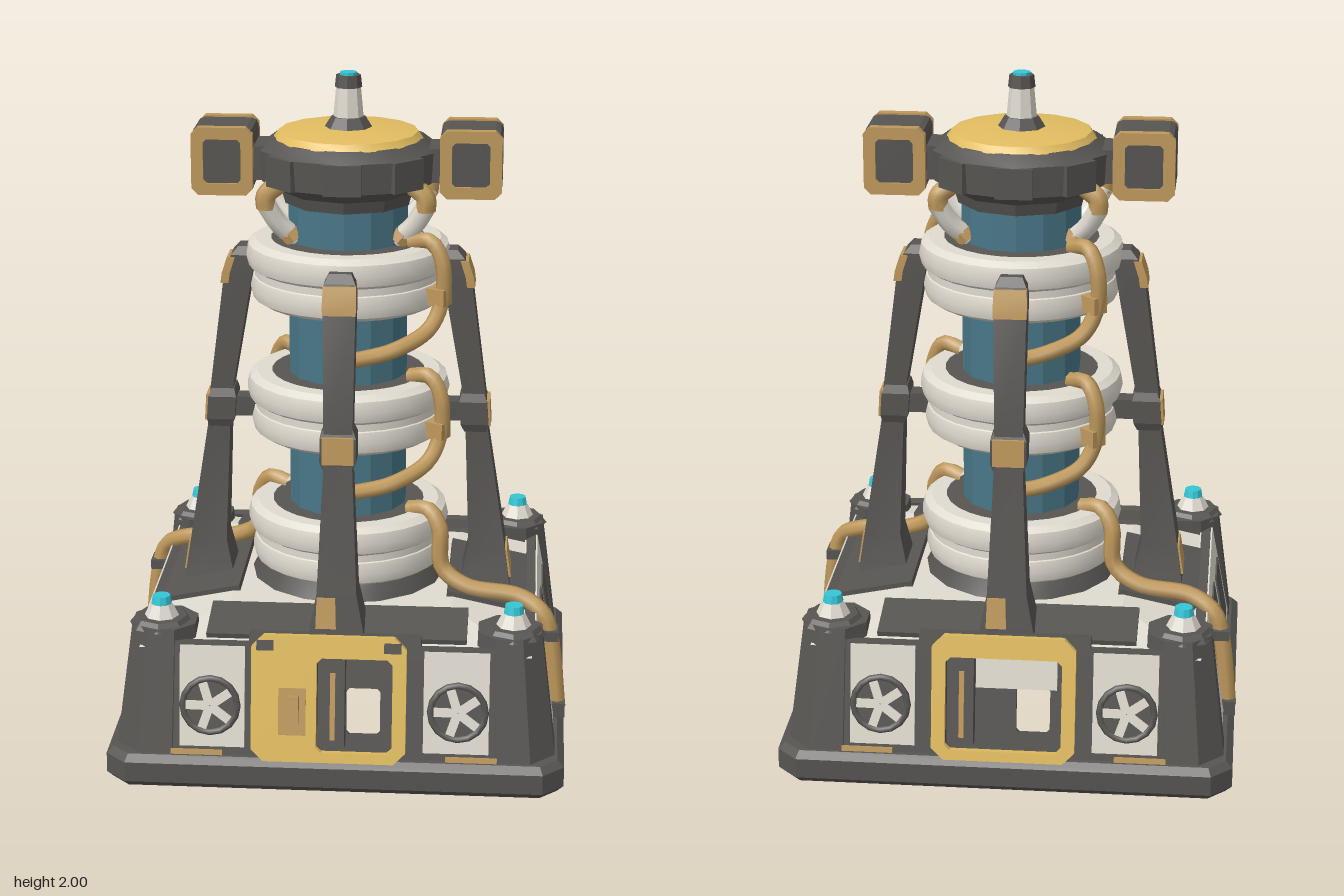
import * as THREE from 'three';
import { toCreasedNormals } from 'three/addons/utils/BufferGeometryUtils.js';
import { RoundedBoxGeometry } from 'three/addons/geometries/RoundedBoxGeometry.js';

const mat = (name, color) => {
  const m = new THREE.MeshStandardMaterial({ color });
  m.name = name;
  return m;
};

export function createModel() {
  const dark = mat('dark metal', 0x575552);
  const white = mat('off-white panel', 0xe0dbd0);
  const yellow = mat('yellow paint', 0xe2bd60);
  const tan = mat('tan trim', 0xbf995c);
  const blue = mat('blue core', 0x497787);
  const teal = mat('teal light', 0x34c6d6);
  const model = new THREE.Group();

  // helpers
  const add = (parent, name, geo, material, x = 0, y = 0, z = 0) => {
    const m = new THREE.Mesh(geo, material);
    m.name = name;
    m.position.set(x, y, z);
    parent.add(m);
    return m;
  };
  const group = (name, parent = model) => {
    const g = new THREE.Group();
    g.name = name;
    parent.add(g);
    return g;
  };
  const box = (w, h, d) => new THREE.BoxGeometry(w, h, d);
  const cyl = (rt, rb, h, n = 8) => toCreasedNormals(new THREE.CylinderGeometry(rt, rb, h, n), 0.5);
  const lathe = (pts, n) => toCreasedNormals(
    new THREE.LatheGeometry(pts.map(p => new THREE.Vector2(p[0], p[1])), n), 0.6);
  const tube = (pts, r, n = 24) => new THREE.TubeGeometry(
    new THREE.CatmullRomCurve3(pts.map(p => new THREE.Vector3(...p))), n, r, 7, false);
  // rectangle with cut corners
  const plate = (x0, y0, x1, y1, c, T = THREE.Shape) => {
    const s = new T();
    s.moveTo(x0 + c, y0); s.lineTo(x1 - c, y0); s.lineTo(x1, y0 + c); s.lineTo(x1, y1 - c);
    s.lineTo(x1 - c, y1); s.lineTo(x0 + c, y1); s.lineTo(x0, y1 - c); s.lineTo(x0, y0 + c);
    s.closePath();
    return s;
  };
  const framed = (outer, holes, depth, bevel = 0) => {
    holes.forEach(h => outer.holes.push(plate(...h, THREE.Path)));
    return new THREE.ExtrudeGeometry(outer, {
      depth, bevelEnabled: bevel > 0, bevelSize: bevel, bevelThickness: bevel, bevelSegments: 1 });
  };
  // beam through sections [y, z, halfWidth, halfDepth]
  const beam = (sections) => {
    const n = sections.length - 1;
    const g = new THREE.BoxGeometry(1, 1, 1, 1, n, 1);
    const p = g.attributes.position;
    for (let i = 0; i < p.count; i++) {
      const [y, z, hw, hd] = sections[Math.round((p.getY(i) + 0.5) * n)];
      p.setXYZ(i, p.getX(i) * 2 * hw, y, z + p.getZ(i) * 2 * hd);
    }
    return toCreasedNormals(g, 0.3);
  };

  // base skirt
  const base = group('base');
  const skirt = framed(plate(-0.65, -0.62, 0.65, 0.62, 0.05), [[-0.59, -0.57, 0.59, 0.57, 0.03]], 0.06, 0.02);
  skirt.rotateX(-Math.PI / 2);
  add(base, 'skirt', skirt, dark, 0, 0.02, 0);

  // sloping walls: front, left, back, right
  for (let k = 0; k < 4; k++) {
    const side = group('wallSide', base);
    side.rotation.y = k * Math.PI / 2;
    const wall = group('wall', side);
    const door = k % 2 === 0;
    wall.position.set(0, 0.05, door ? 0.615 : 0.645);
    wall.rotation.x = -0.18;
    const left = k === 0 ? -0.05 : -0.17;
    const slab = framed(plate(-0.5, 0, 0.5, 0.385, 0.01), door ? [[left, 0.07, 0.17, 0.35, 0.01]] : [], 0.03);
    add(wall, 'wallSlab', slab, dark, 0, 0, -0.03);
    // painted on both wall faces
    const paint = (name, w, h, m, x, y, layer = 0) => [1, -1].forEach(s =>
      add(wall, name, box(w, h, 0.008), m, x, y, -0.015 + s * (0.016 + layer * 0.005)));
    if (door) {
      const frame = framed(plate(k === 0 ? -0.24 : -0.21, 0.04, 0.21, 0.415, 0.035), [[left, 0.07, 0.17, 0.35, 0.015]], 0.025);
      add(wall, 'doorFrame', frame, yellow, 0, 0, -0.005);
      add(wall, 'doorLintel', box(0.5, 0.03, 0.06), dark, 0, 0.395, -0.035);
      // recess and machinery inside the doorway
      const recess = framed(plate(left - 0.02, 0.05, 0.19, 0.37, 0.01), [[0.03, 0.1, 0.13, 0.24, 0.01]], 0.02);
      add(wall, 'doorRecess', recess, dark, 0, 0, -0.1);
      add(wall, 'doorPost', box(0.04, 0.27, 0.05), dark, left + 0.06, 0.21, -0.04);
      add(wall, 'doorPostTrim', box(0.015, 0.2, 0.008), tan, left + 0.045, 0.2, -0.012);
      if (k === 0) {
        add(wall, 'doorLeafInset', box(0.08, 0.14, 0.008), tan, -0.12, 0.19, 0.018);
        add(wall, 'doorHandle', box(0.04, 0.08, 0.035), tan, -0.12, 0.2, 0.03);
        add(wall, 'frameNotch', box(0.05, 0.03, 0.008), dark, -0.2, 0.385, 0.02);
        add(wall, 'frameNotch', box(0.05, 0.03, 0.008), dark, 0.17, 0.385, 0.02);
      } else {
        add(wall, 'innerPanel', box(0.24, 0.11, 0.008), white, 0.03, 0.29, -0.078);
      }
      for (const s of [-1, 1]) {
        paint('whitePanel', 0.19, 0.3, white, s * 0.355, 0.225);
        const fan = group('fan', wall);
        fan.position.set(s * 0.36, 0.2, 0.006);
        const disc = cyl(0.085, 0.085, 0.016, 16);
        disc.rotateX(Math.PI / 2);
        add(fan, 'fanDisc', disc, dark);
        add(fan, 'fanRing', new THREE.TorusGeometry(0.08, 0.01, 6, 16), dark, 0, 0, 0.006);
        for (let b = 0; b < 5; b++) {
          const blade = box(0.026, 0.068, 0.008);
          blade.translate(0, 0.036, 0.01);
          blade.rotateZ(b * Math.PI * 0.4 + 0.3);
          add(fan, 'fanBlade', blade, white);
        }
        add(wall, 'wornEdge', box(0.15, 0.02, 0.008), tan, s * 0.4, 0.055, 0.003);
      }
    } else {
      paint('whitePanel', 0.84, 0.31, white, 0.02, 0.228);
      paint('centrePanel', 0.16, 0.28, dark, 0, 0.19, 1);
      paint('sidePanel', 0.17, 0.18, dark, 0.255, 0.21, 1);
    }
  }

  // corner posts with lamps
  for (const sx of [-1, 1]) for (const sz of [-1, 1]) {
    const corner = group('cornerPost', base);
    const g = new THREE.CylinderGeometry(0.1, 0.135, 0.42, 8, 1).rotateY(Math.PI / 8).translate(0, 0.25, 0);
    const p = g.attributes.position;
    for (let i = 0; i < p.count; i++) {
      const t = (0.46 - p.getY(i)) / 0.42;
      p.setX(i, p.getX(i) + sx * (0.505 + 0.02 * t));
      p.setZ(i, p.getZ(i) + sz * (0.45 + 0.045 * t));
    }
    add(corner, 'post', toCreasedNormals(g, 0.3), dark);
    add(corner, 'postCap', cyl(0.075, 0.095, 0.025), dark, sx * 0.515, 0.46, sz * 0.455);
    add(corner, 'lampSocket', cyl(0.032, 0.052, 0.04), white, sx * 0.515, 0.49, sz * 0.455);
    add(corner, 'lamp', cyl(0.026, 0.032, 0.032, 10), teal, sx * 0.515, 0.518, sz * 0.455);
  }

  // deck
  const deck = new THREE.CylinderGeometry(0.33 * Math.SQRT2, 0.57 * Math.SQRT2, 0.05, 4).rotateY(Math.PI / 4);
  add(base, 'deck', toCreasedNormals(deck, 0.1), white, 0, 0.432, 0).scale.z = 0.96;
  add(base, 'deckUnderside', box(1.08, 0.01, 1.04), dark, 0, 0.4, 0);
  add(base, 'coreSocket', cyl(0.28, 0.24, 0.12, 16), dark, 0, 0.35, 0);

  // struts with deck pads
  for (let k = 0; k < 4; k++) {
    const strut = group('strut');
    strut.rotation.y = k * Math.PI / 2;
    const pad = add(strut, 'deckPad', box(k % 2 ? 0.44 : 0.76, 0.02, k % 2 ? 0.24 : 0.17), dark, 0, 0.441, k % 2 ? 0.43 : 0.41);
    pad.rotation.x = 0.2;
    add(strut, 'strutBeam', beam([[0.42, 0.42, 0.085, 0.08], [0.56, 0.425, 0.058, 0.055], [0.92, 0.39, 0.042, 0.034],
      [1.04, 0.38, 0.042, 0.034], [1.4, 0.325, 0.047, 0.042], [1.455, 0.31, 0.045, 0.037], [1.48, 0.3, 0.032, 0.025]]), dark);
    add(strut, 'strutJoint', beam([[0.92, 0.386, 0.043, 0.034], [0.945, 0.383, 0.053, 0.042],
      [1.015, 0.378, 0.053, 0.042], [1.04, 0.376, 0.043, 0.034]]), dark);
    add(strut, 'strutJointCap', beam([[0.94, 0.412, 0.046, 0.02], [1.02, 0.407, 0.046, 0.02]]), tan);
    add(strut, 'strutBracket', box(0.06, 0.06, 0.12), dark, 0, 0.98, 0.31);
    add(strut, 'strutTopMark', beam([[1.37, 0.366, 0.048, 0.012], [1.4, 0.362, 0.049, 0.012], [1.45, 0.346, 0.047, 0.012]]), tan);
    // full-width mark on the side feet, a narrow one on the front and back feet
    const footWidth = k % 2 ? 0.06 : 0.03;
    add(strut, 'strutFootMark', beam([[0.46, 0.497, footWidth, 0.004], [0.55, 0.483, footWidth * 0.9, 0.004]]), tan, k % 2 ? 0 : -0.03);
  }

  // core column
  const tower = group('tower');
  add(tower, 'coreColumn', toCreasedNormals(new THREE.CylinderGeometry(0.178, 0.178, 1.24, 14), 0.1), blue, 0, 1.04, 0);
  add(tower, 'coreFoot', cyl(0.27, 0.31, 0.08, 16), dark, 0, 0.465, 0);

  // paired rings
  for (const y of [0.5, 0.91, 1.32]) {
    add(tower, 'ringCollar', cyl(0.25, 0.25, 0.18, 20), dark, 0, y + 0.098, 0);
    add(tower, 'ringGroove', cyl(0.28, 0.28, 0.08, 28), white, 0, y + 0.098, 0);
    [[0, 0.292], [0.098, 0.305]].forEach(([dy, r]) => add(tower, 'ring', lathe([
      [0.23, 0], [r - 0.03, 0], [r - 0.008, 0.014], [r, 0.045], [r - 0.008, 0.077],
      [r - 0.03, 0.092], [0.23, 0.092], [0.23, 0]], 28), white, 0, y + dy, 0));
  }

  // head
  const head = group('head');
  add(head, 'headDisc', lathe([[0, 1.62], [0.19, 1.62], [0.2, 1.655], [0.26, 1.69], [0.265, 1.78],
    [0.225, 1.81], [0, 1.81]], 10), dark);
  add(head, 'headDome', lathe([[0.22, 1.808], [0.205, 1.828], [0.13, 1.838], [0, 1.84]], 16), yellow);
  for (let k = 0; k < 8; k++) {
    const a = k * Math.PI / 4;
    add(head, 'headLug', box(0.11, 0.09, 0.03), dark, Math.sin(a) * 0.252, 1.735, Math.cos(a) * 0.252).rotation.y = a;
  }
  add(head, 'antennaBase', cyl(0.05, 0.075, 0.04), dark, 0, 1.85, 0);
  add(head, 'antennaBody', cyl(0.036, 0.045, 0.1), white, 0, 1.91, 0);
  add(head, 'antennaTip', cyl(0.036, 0.04, 0.036), dark, 0, 1.974, 0);
  add(head, 'antennaLight', cyl(0.026, 0.026, 0.014, 10), teal, 0, 1.993, 0);

  for (const s of [-1, 1]) {
    // side pods
    const pod = group('sidePod', head);
    add(pod, 'podNeck', box(0.12, 0.1, 0.14), dark, s * 0.25, 1.74, 0);
    add(pod, 'podBody', toCreasedNormals(new RoundedBoxGeometry(0.18, 0.19, 0.19, 1, 0.02), 0.3), dark, s * 0.362, 1.75, 0);
    for (const z of [-1, 1]) {
      const rim = framed(plate(-0.09, -0.1, 0.09, 0.1, 0.02), [[-0.055, -0.065, 0.055, 0.065, 0.01]], 0.028);
      add(pod, 'podRim', rim, tan, s * 0.362, 1.75, z > 0 ? 0.075 : -0.103);
      // neck pipes under the head
      const pipes = group('neckPipe', head);
      add(pipes, 'upperPipe', tube([[s * 0.19, 1.69, z * 0.1], [s * 0.232, 1.655, z * 0.115], [s * 0.232, 1.615, z * 0.115]], 0.03, 10), tan);
      add(pipes, 'lowerPipe', tube([[s * 0.235, 1.63, z * 0.115], [s * 0.2, 1.57, z * 0.1], [s * 0.15, 1.52, z * 0.08]], 0.03, 10), white);
      const collar = add(pipes, 'pipeCollar', cyl(0.036, 0.036, 0.03), tan, s * 0.16, 1.53, z * 0.083);
      collar.rotation.z = -s * 0.7;
    }
  }

  // cables, repeated half a turn around the tower
  for (let k = 0; k < 2; k++) {
    const cables = group('cables');
    cables.rotation.y = k * Math.PI;
    const coils = group('coils', cables);
    coils.rotation.y = -0.26 * k;
    for (const y of [0, -0.41]) {
      add(coils, 'coilCable', tube([[0.19, 1.52, 0.1], [0.25, 1.53, 0.13], [0.285, 1.47, 0.148], [0.285, 1.36, 0.148],
        [0.25, 1.28, 0.18], [0.15, 1.23, 0.24], [0.06, 1.2, 0.23], [0, 1.17, 0.17]], 0.024, 32), tan, 0, y, 0);
      add(coils, 'cableClip', box(0.06, 0.05, 0.05), tan, 0.275, 1.37 + y, 0.145).rotation.y = -0.5;
    }
    add(cables, 'groundCable', tube([[0.19, 0.69, 0.1], [0.25, 0.7, 0.13], [0.285, 0.65, 0.155], [0.295, 0.53, 0.165],
      [0.37, 0.48, 0.19], [0.53, 0.46, 0.21], [0.6, 0.42, 0.24], [0.625, 0.34, 0.245], [0.65, 0.12, 0.25]], 0.026, 40), tan);
    add(cables, 'upperClamp', box(0.06, 0.03, 0.07), dark, 0.618, 0.36, 0.245);
    add(cables, 'lowerClamp', box(0.06, 0.045, 0.075), dark, 0.642, 0.125, 0.25);
  }
  return model;
}
